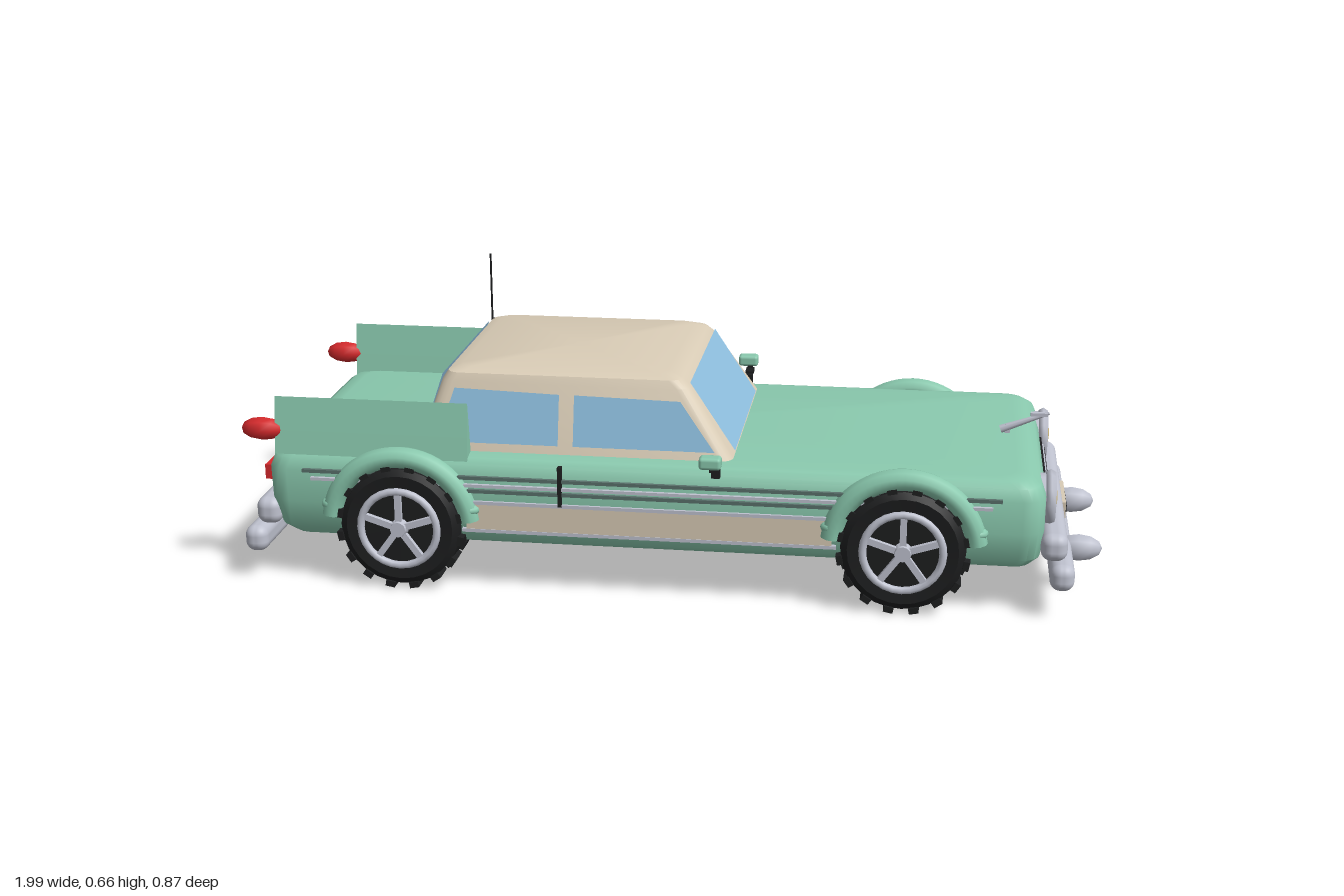
import * as THREE from 'three';
import { toCreasedNormals } from 'three/addons/utils/BufferGeometryUtils.js';
import { RoundedBoxGeometry } from 'three/addons/geometries/RoundedBoxGeometry.js';

const material = (name, color, side = THREE.FrontSide) => {
  const m = new THREE.MeshStandardMaterial({ color, side });
  m.name = name;
  return m;
};

export function createModel() {
  const car = new THREE.Group();
  car.name = 'car';
  const green = material('mint paint', 0x8ac9ae);
  const cream = material('cream paint', 0xd9ccb6);
  const glass = material('window glass', 0x8fc0e0, THREE.DoubleSide);
  const chrome = material('chrome', 0xbfc2cf);
  const black = material('black rubber', 0x1d1e1f);
  const red = material('red lamp', 0xd62a2c);
  const amber = material('headlamp lens', 0xd6c083);
  const trimGrey = material('dark trim', 0x59706b);

  const add = (name, geometry, mat, x = 0, y = 0, z = 0, parent = car) => {
    const mesh = new THREE.Mesh(geometry, mat);
    mesh.name = name;
    mesh.position.set(x, y, z);
    parent.add(mesh);
    return mesh;
  };
  const box = (name, mat, w, h, d, x, y, z, parent) =>
    add(name, new THREE.BoxGeometry(w, h, d), mat, x, y, z, parent);

  // Stacks rounded rectangles [y, xMin, xMax, halfWidth, cornerRadius] into a closed shell
  const loft = (sections, crease) => {
    const rings = sections.map(([y, x0, x1, hz, r]) => {
      const ring = [];
      for (let c = 0; c < 4; c++) {
        const cx = c === 0 || c === 3 ? x1 - r : x0 + r;
        const cz = c < 2 ? hz - r : r - hz;
        for (let k = 0; k <= 4; k++) {
          const a = (c + k / 4) * Math.PI / 2;
          ring.push([cx + r * Math.cos(a), y, cz + r * Math.sin(a)]);
        }
      }
      return ring;
    });
    const v = [], n = rings[0].length;
    const middle = (ring) => [(ring[0][0] + ring[n / 2][0]) / 2, ring[0][1], 0];
    const last = rings[rings.length - 1];
    for (let i = 0; i < n; i++) {
      const j = (i + 1) % n;
      for (let s = 0; s < rings.length - 1; s++) {
        const a = rings[s], b = rings[s + 1];
        v.push(...a[i], ...b[i], ...a[j], ...a[j], ...b[i], ...b[j]);
      }
      v.push(...middle(last), ...last[j], ...last[i]);
      v.push(...middle(rings[0]), ...rings[0][i], ...rings[0][j]);
    }
    const g = new THREE.BufferGeometry();
    g.setAttribute('position', new THREE.Float32BufferAttribute(v, 3));
    return toCreasedNormals(g, crease);
  };

  // Thin window from four corner points
  const pane = (name, p) => {
    const g = new THREE.BufferGeometry();
    g.setAttribute('position', new THREE.Float32BufferAttribute(
      [...p[0], ...p[1], ...p[2], ...p[0], ...p[2], ...p[3]], 3));
    g.computeVertexNormals();
    add(name, g, glass);
  };

  // Main body
  add('body', loft([
    [0.115, -0.88, 0.83, 0.335, 0.04],
    [0.135, -0.91, 0.85, 0.352, 0.05],
    [0.20, -0.927, 0.857, 0.36, 0.05],
    [0.275, -0.93, 0.857, 0.358, 0.05],
    [0.303, -0.92, 0.845, 0.35, 0.05],
    [0.317, -0.90, 0.825, 0.337, 0.05],
    [0.322, -0.87, 0.79, 0.315, 0.05],
  ], 0.7), green);

  // Cabin and roof
  add('cabin', loft([
    [0.31, -0.588, 0.16, 0.306, 0.03],
    [0.478, -0.53, 0.05, 0.266, 0.03],
    [0.496, -0.518, 0.03, 0.258, 0.03],
    [0.506, -0.49, -0.005, 0.235, 0.03],
  ], 0.5), cream);
  const sideZ = (y) => 0.31 - (y - 0.31) * 0.238;
  const frontX = (y) => 0.164 - (y - 0.31) * 0.655;
  const rearX = (y) => -0.592 + (y - 0.31) * 0.345;
  for (const [name, fx] of [['windshield', frontX], ['rearWindow', rearX]]) {
    const lo = 0.328, hi = 0.487;
    pane(name, [[fx(lo), lo, 0.238], [fx(lo), lo, -0.238], [fx(hi), hi, -0.238], [fx(hi), hi, 0.238]]);
  }

  // Wheel with staggered tread blocks and a five-spoke rim; outer face is +z
  const tireProfile = [[0.09, -0.05], [0.125, -0.054], [0.14, -0.045], [0.143, 0],
    [0.14, 0.045], [0.125, 0.054], [0.09, 0.05]].map(([r, y]) => new THREE.Vector2(r, y));
  const tireGeometry = toCreasedNormals(new THREE.LatheGeometry(tireProfile, 28).rotateX(Math.PI / 2), 0.6);
  const discGeometry = new THREE.CylinderGeometry(0.092, 0.092, 0.08, 24).rotateX(Math.PI / 2);
  const hubGeometry = new THREE.CylinderGeometry(0.018, 0.022, 0.022, 12).rotateX(Math.PI / 2);
  const makeWheel = (x, side) => {
    const wheel = new THREE.Group();
    wheel.name = 'wheel';
    wheel.position.set(x, 0.153, side * 0.325);
    if (side < 0) wheel.rotation.y = Math.PI;
    car.add(wheel);
    add('tire', tireGeometry, black, 0, 0, 0, wheel);
    add('rimBacking', discGeometry, black, 0, 0, 0.008, wheel);
    add('innerDisc', new THREE.CylinderGeometry(0.085, 0.085, 0.01, 20).rotateX(Math.PI / 2), chrome, 0, 0, -0.045, wheel);
    add('rimRing', new THREE.TorusGeometry(0.09, 0.009, 8, 28), chrome, 0, 0, 0.058, wheel);
    add('hub', hubGeometry, chrome, 0, 0, 0.058, wheel);
    for (let i = 0; i < 5; i++) {
      const a = Math.PI / 2 + i * Math.PI * 0.4;
      box('spoke', chrome, 0.08, 0.015, 0.012, 0.05 * Math.cos(a), 0.05 * Math.sin(a), 0.056, wheel).rotation.z = a;
    }
    for (let i = 0; i < 32; i++) {
      const a = i * Math.PI / 16 - Math.PI / 2, r = 0.144;
      box('treadBlock', black, 0.014, 0.022, 0.056, r * Math.cos(a), r * Math.sin(a),
        i % 2 ? 0.024 : -0.024, wheel).rotation.z = a;
    }
  };

  // Fin: triangular section run along x
  const finShape = new THREE.Shape([[-0.02, 0.31], [0.02, 0.31], [0.012, 0.365], [0, 0.443], [-0.012, 0.365]]
    .map(([z, y]) => new THREE.Vector2(z, y)));
  const finGeometry = new THREE.ExtrudeGeometry(finShape, { depth: 0.455, bevelEnabled: false }).rotateY(-Math.PI / 2);

  for (const s of [1, -1]) {
    // Side windows
    const at = (x, y) => [x, y, s * sideZ(y)];
    pane('rearSideWindow', [at(-0.535, 0.342), at(-0.25, 0.342), at(-0.25, 0.457), at(-0.495, 0.464)]);
    pane('frontSideWindow', [at(-0.215, 0.342), at(0.112, 0.342), at(0.03, 0.452), at(-0.215, 0.457)]);

    // Wheels and flared arches
    for (const x of [-0.61, 0.545]) {
      makeWheel(x, s);
      const arc = Math.PI * 0.92;
      const arch = add('wheelArch', new THREE.TorusGeometry(0.164, 0.025, 10, 28, arc), green, x, 0.153, s * 0.356);
      arch.rotation.z = (Math.PI - arc) / 2;
      arch.scale.z = 1.15;
      for (const e of [1, -1]) {
        const flare = add('archFlare', new THREE.SphereGeometry(0.03, 10, 8), green, x + e * 0.163, 0.2, s * 0.358);
        flare.scale.set(0.85, 0.5, 0.8);
      }
    }

    // Fins and tail lamps
    add('fin', finGeometry, green, -0.453, 0, s * 0.326);
    const tail = add('tailLamp', new THREE.SphereGeometry(0.028, 8, 6).rotateZ(Math.PI / 2), red, -0.94, 0.364, s * 0.328);
    tail.scale.x = 1.8;
    box('rearLamp', red, 0.025, 0.035, 0.13, -0.933, 0.253, s * 0.25);

    // Side mouldings, lower panel and door seam
    box('upperMoulding', trimGrey, 1.6, 0.008, 0.012, -0.04, 0.277, s * 0.359);
    box('middleMoulding', chrome, 1.56, 0.007, 0.012, -0.04, 0.259, s * 0.361);
    box('lowerMoulding', trimGrey, 0.84, 0.008, 0.012, -0.035, 0.246, s * 0.361);
    box('lowerPanel', cream, 0.84, 0.062, 0.009, -0.035, 0.183, s * 0.359);
    box('panelTopStrip', chrome, 0.86, 0.008, 0.014, -0.035, 0.218, s * 0.359);
    box('panelBottomStrip', chrome, 0.86, 0.008, 0.014, -0.035, 0.15, s * 0.358);
    box('doorSeam', black, 0.009, 0.095, 0.016, -0.235, 0.265, s * 0.361);

    // Mirror
    box('mirrorStalk', black, 0.02, 0.01, 0.042, 0.122, 0.336, s * 0.388);
    box('mirrorBase', black, 0.02, 0.03, 0.02, 0.122, 0.32, s * 0.362);
    box('mirrorArm', black, 0.012, 0.025, 0.01, 0.122, 0.345, s * 0.405);
    add('mirror', new RoundedBoxGeometry(0.05, 0.028, 0.035, 2, 0.008), green, 0.116, 0.358, s * 0.416);

    // Headlamps and bumper bullets
    add('headlampRing', new THREE.TorusGeometry(0.051, 0.013, 6, 10).rotateY(Math.PI / 2), chrome, 0.87, 0.248, s * 0.234);
    add('headlampBowl', new THREE.CylinderGeometry(0.055, 0.055, 0.04, 10).rotateZ(Math.PI / 2), chrome, 0.848, 0.248, s * 0.234);
    add('headlampLens', new THREE.SphereGeometry(0.044, 10, 8), amber, 0.867, 0.246, s * 0.234).scale.x = 0.45;
    add('bumperBullet', new THREE.SphereGeometry(0.033, 8, 6).rotateZ(Math.PI / 2), chrome, 0.945, 0.102, s * 0.163).scale.x = 1.65;
  }

  // Bumpers and number plates at both ends
  for (const [end, upper, lower, plate] of [['front', 0.88, 0.9, 0.913], ['rear', -0.935, -0.962, -0.968]]) {
    const out = Math.sign(plate);
    add(end + 'UpperBumper', new RoundedBoxGeometry(0.06, 0.065, 0.7, 4, 0.024), chrome, upper, 0.164, 0);
    add(end + 'LowerBumper', new RoundedBoxGeometry(0.055, 0.063, 0.746, 4, 0.024), chrome, lower, 0.101, 0);
    box(end + 'Plate', cream, 0.009, 0.046, 0.154, plate, 0.157, 0);
    box(end + 'PlateBar', black, 0.006, 0.016, 0.106, plate + out * 0.005, 0.156, 0);
  }

  // Grille
  box('grilleSlot', black, 0.012, 0.01, 0.28, 0.857, 0.263, 0);
  box('grilleFrame', chrome, 0.02, 0.022, 0.306, 0.86, 0.236, 0);
  box('grilleSlot', black, 0.008, 0.009, 0.28, 0.868, 0.239, 0);
  box('grilleSlot', black, 0.02, 0.009, 0.32, 0.858, 0.215, 0);
  for (let i = -3; i <= 3; i++) box('grilleTooth', chrome, 0.018, 0.018, 0.026, 0.855, 0.203, i * 0.042);

  // Hood ornament and aerial
  const ornament = add('hoodOrnament', new THREE.CylinderGeometry(0.004, 0.01, 0.12, 8), chrome, 0.815, 0.352, 0);
  ornament.rotation.z = -1.2;
  box('ornamentPost', chrome, 0.012, 0.03, 0.01, 0.775, 0.328, 0);
  box('ornamentWing', chrome, 0.04, 0.008, 0.012, 0.848, 0.37, 0);
  add('aerial', new THREE.CylinderGeometry(0.0025, 0.0025, 0.175, 6), black, -0.52, 0.577, -0.229);
  box('aerialBase', black, 0.01, 0.03, 0.008, -0.516, 0.482, -0.229);

  return car;
}
